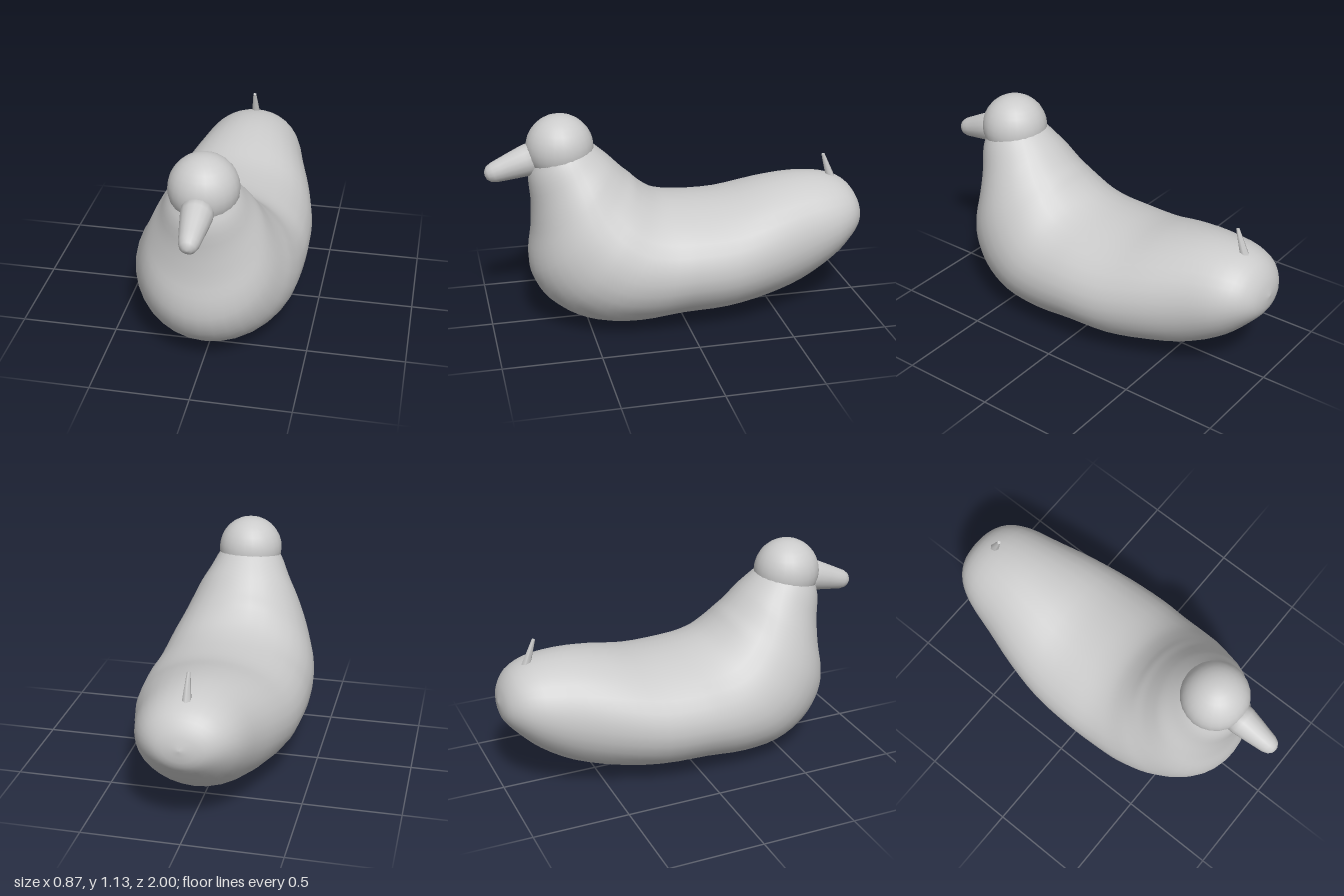
import * as THREE from 'three';

const material = new THREE.MeshStandardMaterial({ color: 0xcccccc });

// Cross-sections fanning from the tail round to the neck:
// back point (z, y), belly point (z, y), half width
const SECTIONS = [
  [-1.0, 0.505, -1.0, 0.495, 0.005],
  [-0.975, 0.585, -0.985, 0.41, 0.12],
  [-0.92, 0.655, -0.92, 0.33, 0.205],
  [-0.82, 0.7, -0.82, 0.235, 0.265],
  [-0.65, 0.715, -0.65, 0.13, 0.315],
  [-0.45, 0.69, -0.45, 0.07, 0.375],
  [-0.25, 0.648, -0.22, 0.035, 0.42],
  [-0.05, 0.645, 0.03, 0.028, 0.435],
  [0.06, 0.66, 0.27, 0.004, 0.43],
  [0.13, 0.685, 0.48, 0.025, 0.422],
  [0.2, 0.735, 0.63, 0.09, 0.4],
  [0.24, 0.775, 0.73, 0.18, 0.37],
  [0.28, 0.81, 0.785, 0.29, 0.34],
  [0.32, 0.85, 0.793, 0.4, 0.31],
  [0.36, 0.89, 0.775, 0.53, 0.275],
  [0.41, 0.935, 0.77, 0.68, 0.225],
  [0.45, 0.968, 0.778, 0.82, 0.185],
  [0.48, 0.99, 0.755, 0.92, 0.15],
];

function bodyGeometry(rings = 51, sides = 32) {
  const curve = (f) => new THREE.CatmullRomCurve3(SECTIONS.map(f));
  const back = curve((s) => new THREE.Vector3(0, s[1], s[0]));
  const belly = curve((s) => new THREE.Vector3(s[4], s[3], s[2]));
  const positions = [];
  const index = [];
  for (let i = 0; i <= rings; i++) {
    const top = back.getPoint(i / rings);
    const low = belly.getPoint(i / rings);
    for (let j = 0; j < sides; j++) {
      const a = (j / sides) * Math.PI * 2;
      const t = (1 - Math.cos(a)) / 2;
      positions.push(
        low.x * Math.sin(a),
        THREE.MathUtils.lerp(top.y, low.y, t),
        THREE.MathUtils.lerp(top.z, low.z, t)
      );
      if (i < rings) {
        const p = i * sides + j;
        const q = i * sides + ((j + 1) % sides);
        index.push(p, p + sides, q, q, p + sides, q + sides);
      }
    }
  }
  // close both ends
  const last = rings * sides;
  for (let j = 1; j < sides - 1; j++) {
    index.push(0, j, j + 1, last, last + j + 1, last + j);
  }
  const geometry = new THREE.BufferGeometry();
  geometry.setAttribute('position', new THREE.Float32BufferAttribute(positions, 3));
  geometry.setIndex(index);
  geometry.computeVertexNormals();
  return geometry;
}

export function createModel() {
  const group = new THREE.Group();
  const add = (name, geometry) => {
    const mesh = new THREE.Mesh(geometry, material);
    mesh.name = name;
    group.add(mesh);
    return mesh;
  };

  // body and neck in one sweep
  add('body', bodyGeometry());

  // head
  add('head', new THREE.SphereGeometry(0.173, 24, 16)).position.set(0, 0.957, 0.612);

  // beak: blunt tapered lathe pointing forward and slightly down
  const profile = [
    [0, -0.05], [0.084, -0.05], [0.081, 0.03], [0.07, 0.1], [0.058, 0.17],
    [0.052, 0.205], [0.041, 0.231], [0.022, 0.247], [0, 0.251],
  ].map(([r, y]) => new THREE.Vector2(r, y));
  const beak = add('beak', new THREE.LatheGeometry(profile, 16));
  beak.position.set(0, 0.909, 0.755);
  beak.rotation.x = Math.PI / 2 + 0.3;
  beak.scale.x = 0.96;

  // tail feather: thin spike leaning forward
  const from = new THREE.Vector3(0, 0.66, -0.85);
  const to = new THREE.Vector3(0, 0.812, -0.797);
  const axis = to.clone().sub(from);
  const feather = add('tailFeather', new THREE.CylinderGeometry(0.009, 0.026, axis.length(), 6));
  feather.position.copy(from).add(to).multiplyScalar(0.5);
  feather.quaternion.setFromUnitVectors(new THREE.Vector3(0, 1, 0), axis.normalize());

  return group;
}
